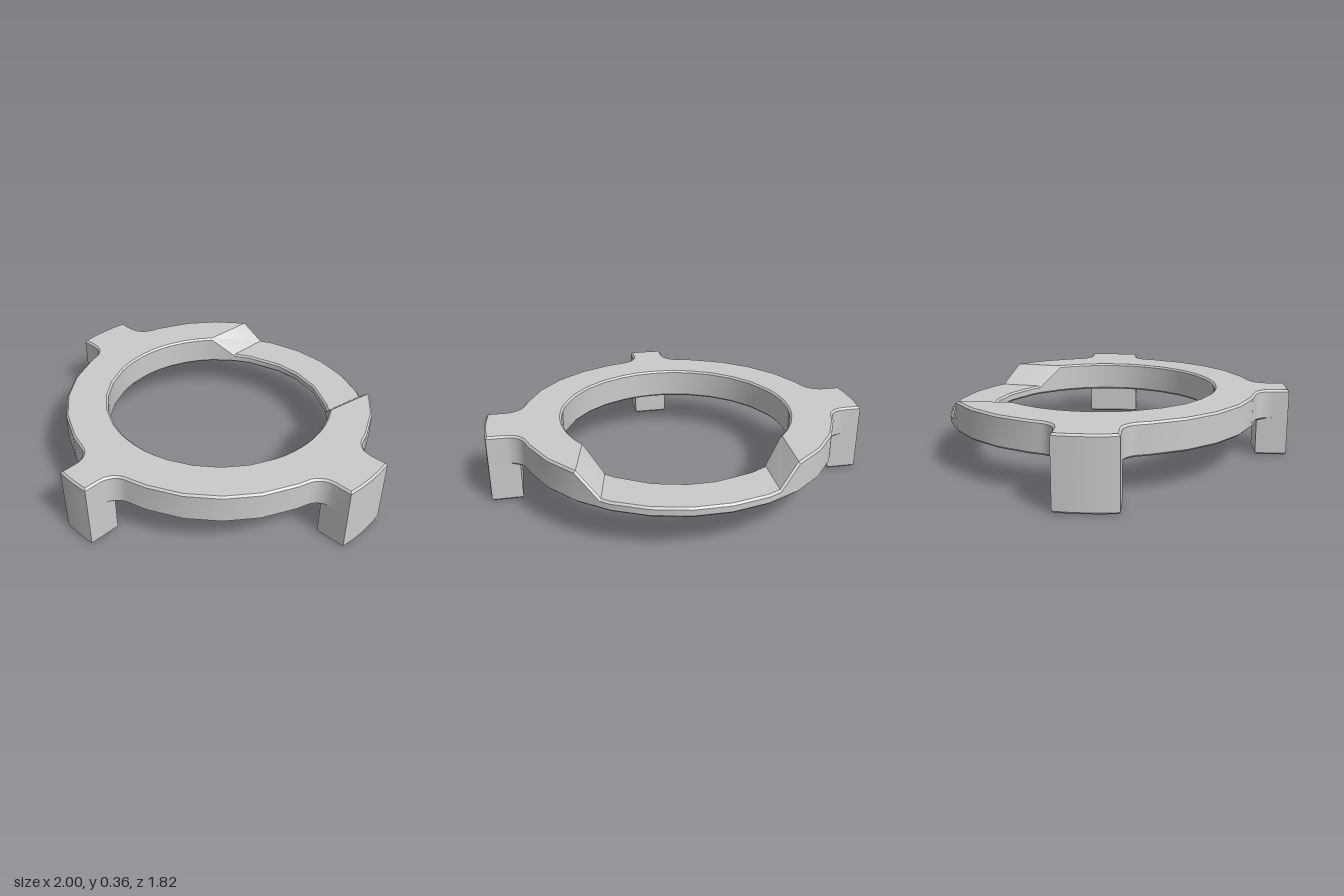
import * as THREE from 'three';
import { toCreasedNormals } from 'three/addons/utils/BufferGeometryUtils.js';

const rad = THREE.MathUtils.degToRad;
const material = new THREE.MeshStandardMaterial({ color: 0xcccccc });
const STEP = 360 / 28;            // ring outline has 28 flat sides
const FLAT = 0.824, VERTEX = FLAT / Math.cos(rad(STEP / 2));
const HOLE = 0.605, REACH = 1, CHAMFER = 0.01;
const BASE = 0.2, LOW = 0.25, TOP = 0.36;
const CENTER_Z = -0.09;
// tabs: direction in degrees from the front, half width
const TABS = [[0, 0.095], [90, 0.15], [-90, 0.15]];
// recess at the back: outer angle -> inner angle, measured from the back
const WARP = [[-75, -75], [-45, -59], [-35.9, -45], [-12, -12], [12, 12], [24.4, 34], [32.14, 47.4], [75, 75]];

const polar = (r, deg) => new THREE.Vector2(r * Math.sin(rad(deg)), r * Math.cos(rad(deg)));
const wrap = (deg) => ((deg + 540) % 360) - 180;

function innerAngle(b) {
  for (let i = 0; i < WARP.length - 1; i++) {
    const [o0, i0] = WARP[i], [o1, i1] = WARP[i + 1];
    if (b >= o0 && b <= o1) return THREE.MathUtils.mapLinear(b, o0, o1, i0, i1);
  }
  return b;
}

// half outline of a tab (tangential, radial): fillet, straight side, rounded end
function tabSide(w) {
  const f = 0.1, cy = Math.sqrt((VERTEX + f) ** 2 - (w + f) ** 2);
  const start = Math.atan2(-cy, -(w + f)), pts = [];
  for (let i = 0; i <= 6; i++) {
    const a = THREE.MathUtils.lerp(start, -Math.PI, i / 6);
    pts.push([w + f + f * Math.cos(a), cy + f * Math.sin(a)]);
  }
  pts.push([w, Math.sqrt(REACH - w * w)], [w / 2, Math.sqrt(REACH - w * w / 4)]);
  return pts;
}

// outer outline as points sorted by angle
function outline() {
  const pts = [];
  for (let i = 0; i < 28; i++) {
    const a = (i + 0.5) * STEP;
    const hidden = TABS.some(([dir, w]) => Math.abs(wrap(a - dir)) < (w > 0.1 ? 17 : 15));
    if (!hidden) pts.push(polar(VERTEX, a));
  }
  for (const b of [-35.9, 24.4]) {           // feet of the two ramps
    const off = b - Math.round(b / STEP) * STEP;
    pts.push(polar(FLAT / Math.cos(rad(off)), 180 + b));
  }
  for (const [dir, w] of TABS) {
    const d = polar(1, dir), e = new THREE.Vector2(d.y, -d.x);
    const place = (t, r) => pts.push(d.clone().multiplyScalar(r).addScaledVector(e, t));
    for (const [t, r] of tabSide(w)) { place(t, r); place(-t, r); }
    place(0, REACH);
  }
  return pts.sort((p, q) => Math.atan2(p.x, p.y) - Math.atan2(q.x, q.y));
}

// ring swept through chamfered cross-sections, lower inside the recess
function ringGeometry() {
  const outer = outline(), n = outer.length, c = CHAMFER;
  const position = [], index = [];
  outer.forEach((o, k) => {
    const prev = outer[(k + n - 1) % n], next = outer[(k + 1) % n];
    const d0 = o.clone().sub(prev).normalize(), d1 = next.clone().sub(o).normalize();
    const t = d0.clone().add(d1).normalize();
    const inset = new THREE.Vector2(t.y, -t.x).multiplyScalar(c / Math.max(0.5, t.dot(d0)));
    const oc = o.clone().add(inset);
    const b = wrap(THREE.MathUtils.radToDeg(Math.atan2(o.x, o.y)) - 180);
    const ia = 180 + innerAngle(b);
    const i = polar(HOLE, ia), ic = polar(HOLE + c, ia);
    const top = b > -36.5 && b < 25 ? LOW : TOP;
    const section = [[ic, BASE], [oc, BASE], [o, BASE + c], [o, top - c],
      [oc, top], [ic, top], [i, top - c], [i, BASE + c]];
    section.forEach(([p, y], j) => {
      position.push(p.x, y, p.y);
      const a = k * 8 + j, a2 = k * 8 + (j + 1) % 8;
      const q = ((k + 1) % n) * 8 + j, q2 = ((k + 1) % n) * 8 + (j + 1) % 8;
      index.push(a, q, q2, a, q2, a2);
    });
  });
  const g = new THREE.BufferGeometry();
  g.setAttribute('position', new THREE.Float32BufferAttribute(position, 3));
  g.setIndex(index);
  return toCreasedNormals(g, 0.45);
}

// leg with a blind hole in its foot
function makeLeg(name, dir, w) {
  const leg = new THREE.Group();
  leg.name = name;
  const edge = Math.sqrt(REACH - w * w), mid = 0.915, r = 0.062, b = 0.01;
  const shape = new THREE.Shape();
  shape.moveTo(-w, 0.83);
  shape.lineTo(w, 0.83);
  shape.lineTo(w, edge);
  for (const t of [0.5, 0, -0.5]) shape.lineTo(w * t, Math.sqrt(REACH - (w * t) ** 2));
  shape.lineTo(-w, edge);
  shape.closePath();
  const hole = new THREE.Path();
  hole.absarc(0, mid, r, 0, Math.PI * 2, true);
  shape.holes.push(hole);
  const height = 0.225;
  const g = new THREE.ExtrudeGeometry(shape, {
    depth: height - 2 * b, bevelThickness: b, bevelSize: b, bevelOffset: -b, bevelSegments: 1, curveSegments: 12,
  });
  g.rotateX(Math.PI / 2);
  g.translate(0, height - b, 0);
  const post = new THREE.Mesh(toCreasedNormals(g, 0.55), material);
  post.name = name + 'Post';
  const floor = new THREE.Mesh(new THREE.CircleGeometry(r + 0.012, 24), material);
  floor.name = name + 'HoleFloor';
  floor.rotation.x = Math.PI / 2;
  floor.position.set(0, 0.15, mid);
  leg.add(post, floor);
  leg.rotation.y = rad(dir);
  return leg;
}

export function createModel() {
  const model = new THREE.Group();
  model.name = 'ringBracket';
  const ring = new THREE.Mesh(ringGeometry(), material);
  ring.name = 'ring';
  model.add(ring);
  ['frontLeg', 'leftLeg', 'rightLeg'].forEach((name, i) => model.add(makeLeg(name, ...TABS[i])));
  model.children.forEach((part) => { part.position.z = CENTER_Z; });
  return model;
}
